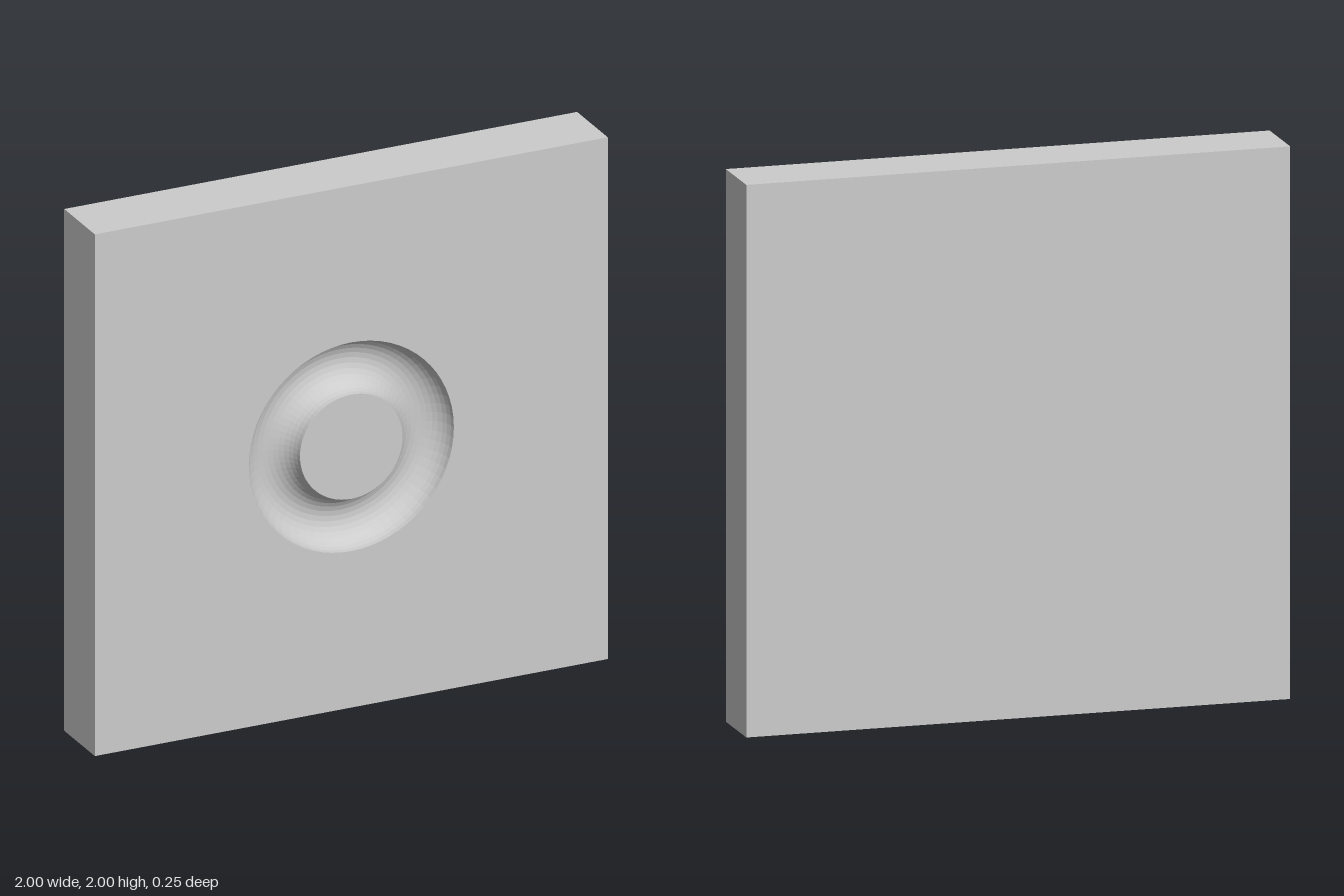
import * as THREE from 'three';

const SIZE = 2, DEPTH = 0.25, FRONT = DEPTH / 2;
const RING = 0.3, GROOVE = 0.1, SEGMENTS = 64;

export function createModel() {
  const model = new THREE.Group();
  const material = new THREE.MeshStandardMaterial({ color: 0xcccccc, flatShading: true });
  const add = (name, geometry, z = 0) => {
    const mesh = new THREE.Mesh(geometry, material);
    mesh.name = name;
    mesh.position.set(0, SIZE / 2, z);
    model.add(mesh);
  };

  // Slab sides and back: a box without its +z face
  const box = new THREE.BoxGeometry(SIZE, SIZE, DEPTH);
  const open = box.groups[4];
  box.setIndex(Array.from(box.index.array).filter(
    (_, i) => i < open.start || i >= open.start + open.count));
  box.clearGroups();
  add('slabBody', box);

  // Front face with a round opening
  const h = SIZE / 2;
  const face = new THREE.Shape([
    new THREE.Vector2(-h, -h), new THREE.Vector2(h, -h),
    new THREE.Vector2(h, h), new THREE.Vector2(-h, h),
  ]);
  face.holes.push(new THREE.Path().absarc(0, 0, RING + GROOVE, 0, Math.PI * 2, true));
  add('frontFace', new THREE.ShapeGeometry(face, SEGMENTS / 2), FRONT);

  // Half-round ring groove, swept from its outer to its inner rim
  const profile = [];
  const steps = 16;
  for (let i = 0; i <= steps; i++) {
    const a = (i / steps) * Math.PI;
    profile.push(new THREE.Vector2(RING + GROOVE * Math.cos(a), -GROOVE * Math.sin(a)));
  }
  add('ringGroove', new THREE.LatheGeometry(profile, SEGMENTS).rotateX(Math.PI / 2), FRONT);

  // Flat disc inside the groove, level with the front face
  add('centreDisc', new THREE.CircleGeometry(RING - GROOVE, SEGMENTS), FRONT);

  return model;
}
